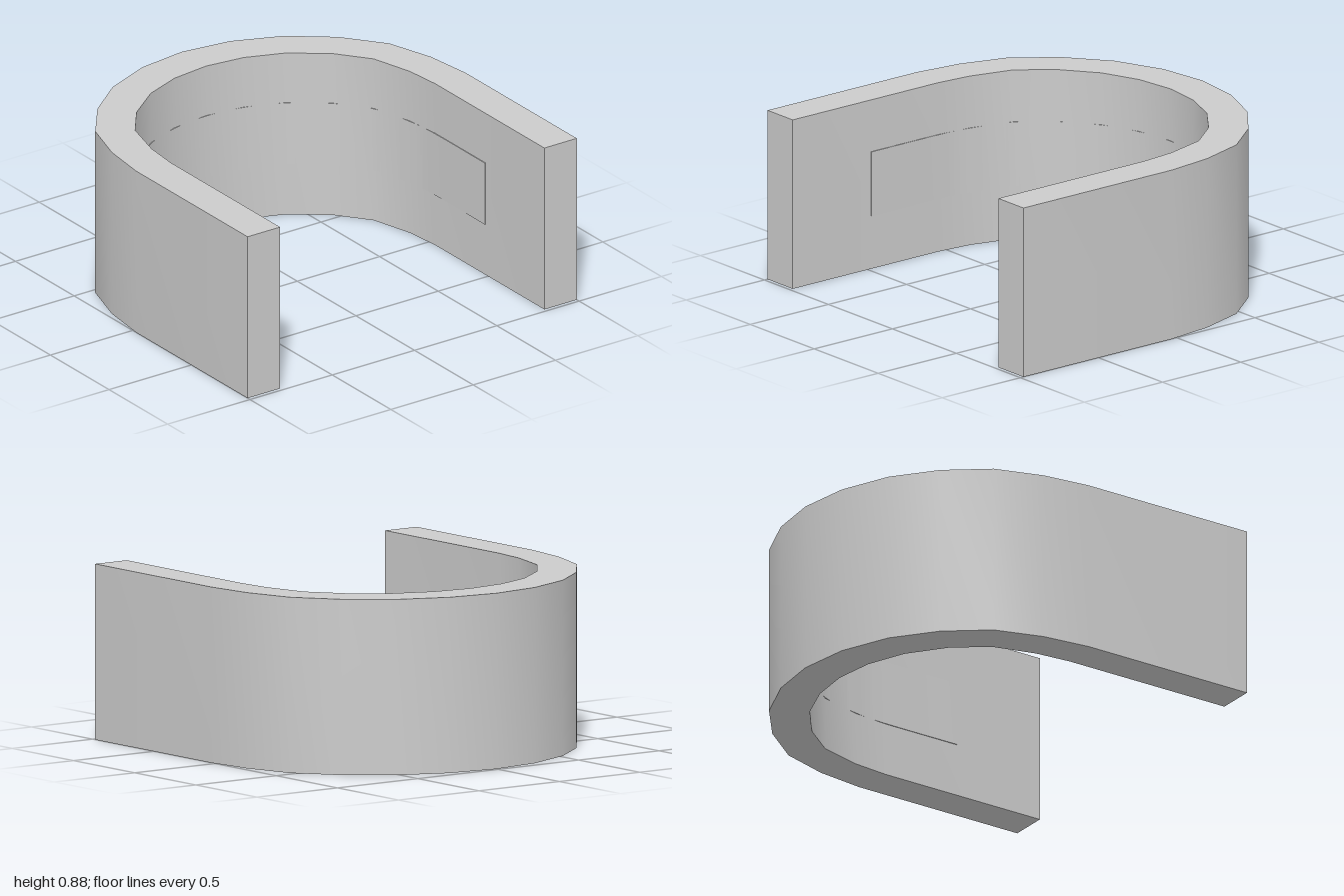
import * as THREE from 'three';
import { toCreasedNormals } from 'three/addons/utils/BufferGeometryUtils.js';

const HEIGHT = 0.88;
const FRONT = 0.98;

// Half outlines as [x, z], from the straight arm round to the middle of the back
const OUTER = [[1, 0.03], [0.97, -0.22], [0.893, -0.47], [0.73, -0.68], [0.52, -0.845], [0.265, -0.95], [0, -0.985]];
const INNER = [[0.803, 0.05], [0.785, -0.14], [0.725, -0.365], [0.595, -0.535], [0.41, -0.675], [0.21, -0.752], [0, -0.778]];

// Mirror a half outline and add the ends of the two straight arms
function arch(half, endZ) {
  const right = [[half[0][0], endZ], ...half];
  const left = right.slice(0, -1).reverse().map(([x, z]) => [-x, z]);
  return [...right, ...left].map(([x, z]) => new THREE.Vector2(x, -z));
}

// Extrude the area between two arches upward
function archWall(name, outer, inner, y, height, material) {
  const shape = new THREE.Shape([...outer, ...inner.slice().reverse()]);
  let geometry = new THREE.ExtrudeGeometry(shape, { depth: height, bevelEnabled: false });
  geometry.rotateX(-Math.PI / 2);
  geometry.translate(0, y, 0);
  geometry = toCreasedNormals(geometry, 0.6);
  const mesh = new THREE.Mesh(geometry, material);
  mesh.name = name;
  return mesh;
}

export function createModel() {
  const group = new THREE.Group();
  group.name = 'horseshoeArch';
  const material = new THREE.MeshStandardMaterial({ color: 0xcccccc });

  // Main U-shaped wall
  group.add(archWall('archWall', arch(OUTER, FRONT), arch(INNER, FRONT), 0, HEIGHT, material));

  // Thin smooth band set almost flush into the inner face
  const smooth = new THREE.SplineCurve(arch(INNER, 0.48)).getPoints(96);
  const scaled = (s) => smooth.map((p) => new THREE.Vector2(p.x * s, p.y < 0 ? p.y : p.y * s));
  group.add(archWall('innerBand', scaled(1.03), scaled(0.994), 0.275, 0.335, material));

  return group;
}
